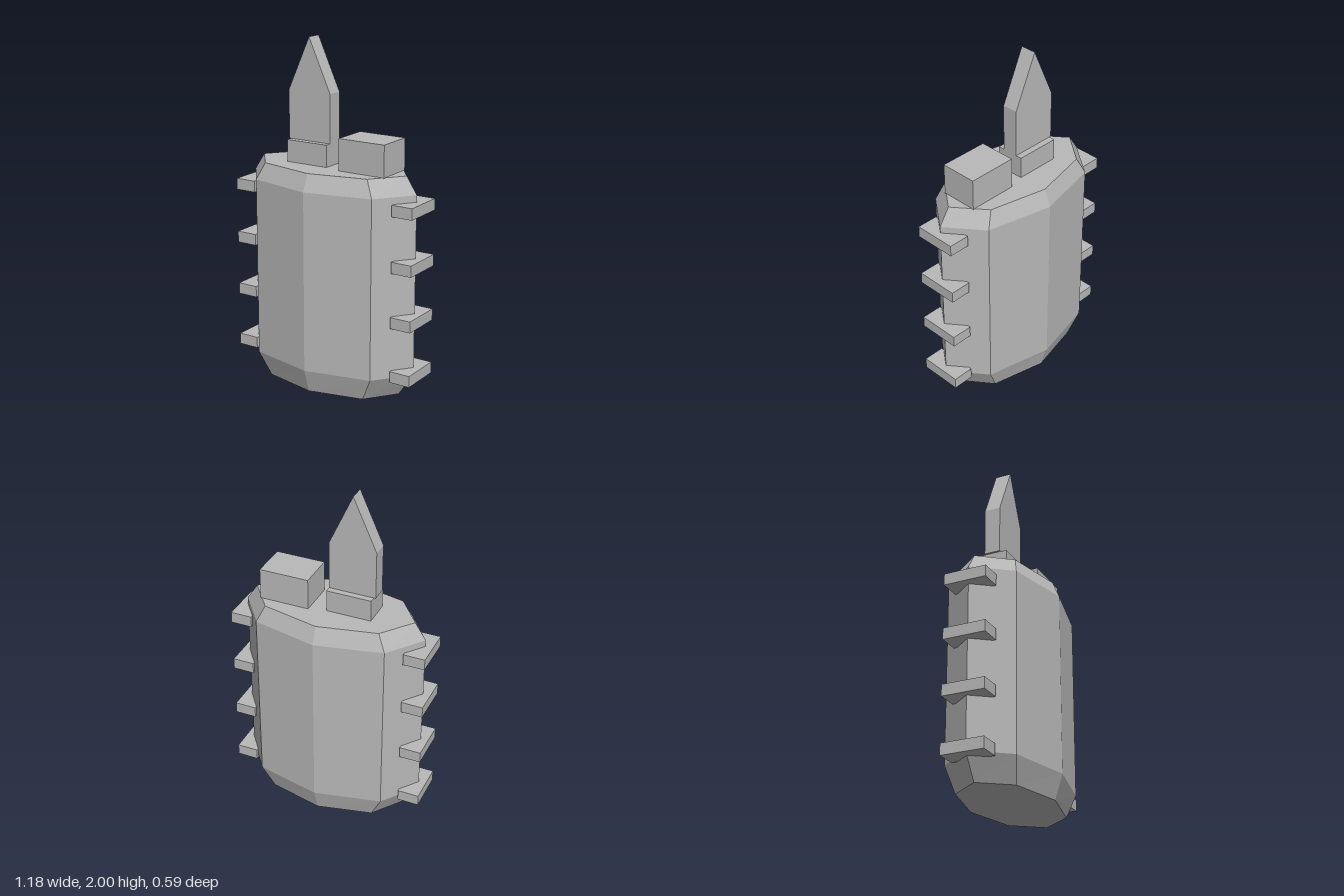
import * as THREE from 'three';

export function createModel() {
  const group = new THREE.Group();
  const grey = new THREE.MeshStandardMaterial({ color: 0xb8b8b8 });
  grey.name = 'plain grey';

  const add = (name, geometry, x = 0, y = 0, z = 0) => {
    const mesh = new THREE.Mesh(geometry, grey);
    mesh.name = name;
    mesh.position.set(x, y, z);
    group.add(mesh);
  };
  const box = (name, w, h, d, x, y, z = 0) => add(name, new THREE.BoxGeometry(w, h, d), x, y, z);

  // Flattened eight-sided body, bevelled at both ends: [height, half width, half depth]
  const rings = [[0, 0.45, 0.25], [0.14, 0.545, 0.294], [1.19, 0.545, 0.294], [1.288, 0.48, 0.254]];
  const body = new THREE.CylinderGeometry(1, 1, 3, 8, 3).toNonIndexed();
  const p = body.attributes.position;
  for (let i = 0; i < p.count; i++) {
    const [y, rx, rz] = rings[Math.round(p.getY(i) + 1.5)];
    p.setXYZ(i, p.getX(i) * rx, y, p.getZ(i) * rz);
  }
  body.computeVertexNormals();
  add('body', body);

  // Four tabs down each side
  for (const side of [-1, 1]) {
    for (let i = 0; i < 4; i++) {
      box(`${side > 0 ? 'left' : 'right'}Tab${i + 1}`, 0.126, 0.066, 0.25, side * 0.525, 0.152 + i * 0.3217);
    }
  }

  // Block and blade holder on the top
  box('topBlock', 0.292, 0.185, 0.22, 0.256, 1.3775);
  box('bladeHolder', 0.265, 0.13, 0.168, -0.121, 1.35);

  // Pointed blade
  const outline = new THREE.Shape([[-0.265, 1.415], [0.012, 1.415], [0.012, 1.695], [-0.127, 2], [-0.265, 1.695]]
    .map(([x, y]) => new THREE.Vector2(x, y)));
  add('blade', new THREE.ExtrudeGeometry(outline, { depth: 0.094, bevelEnabled: false }), 0, 0, -0.047);

  return group;
}
